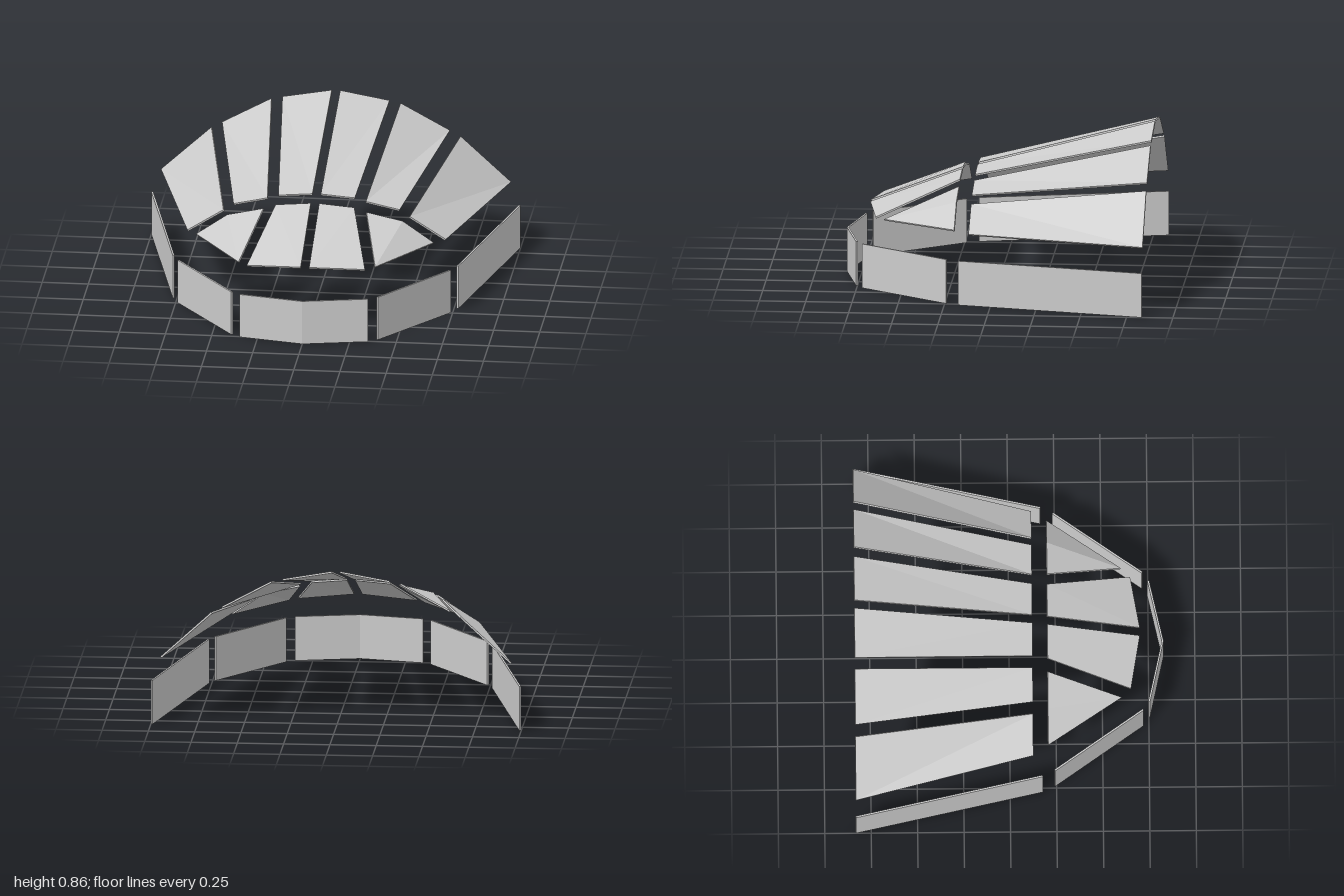
import * as THREE from 'three';

const THICK = 0.01;
const WALL_H = 0.243;
const material = new THREE.MeshStandardMaterial({ color: 0xcccccc, flatShading: true });

// Thin slab under an outline of 3D corners (counter-clockwise from above, fanned from the first)
function slab(corners) {
  const top = corners.map(c => new THREE.Vector3(...c));
  const n = top.length;
  const normal = new THREE.Vector3();
  for (let i = 1; i < n - 1; i++) {
    const a = top[i].clone().sub(top[0]);
    const b = top[i + 1].clone().sub(top[0]);
    normal.add(a.cross(b));
  }
  normal.normalize().multiplyScalar(THICK);
  const low = top.map(p => p.clone().sub(normal));
  const pos = [];
  const tri = (...pts) => pts.forEach(p => pos.push(p.x, p.y, p.z));
  for (let i = 1; i < n - 1; i++) {
    tri(top[0], top[i], top[i + 1]);
    tri(low[0], low[i + 1], low[i]);
  }
  for (let i = 0; i < n; i++) {
    const j = (i + 1) % n;
    tri(top[i], low[i], low[j]);
    tri(top[i], low[j], top[j]);
  }
  const geo = new THREE.BufferGeometry();
  geo.setAttribute('position', new THREE.Float32BufferAttribute(pos, 3));
  geo.computeVertexNormals();
  return geo;
}

// Upright wall from a plan outline of [x, z] points
function wall(plan) {
  const shape = new THREE.Shape(plan.map(([x, z]) => new THREE.Vector2(x, -z)));
  const geo = new THREE.ExtrudeGeometry(shape, { depth: WALL_H, bevelEnabled: false });
  return geo.rotateX(-Math.PI / 2);
}

// Plan outline of a straight wall whose outer face runs from a to b on the left side
function straightPlan([ax, az], [bx, bz]) {
  const len = Math.hypot(bx - ax, bz - az);
  const ox = -Math.abs(bz - az) / len * THICK;
  const oz = -Math.abs(bx - ax) / len * THICK;
  return [[ax, az], [bx, bz], [bx + ox, bz + oz], [ax + ox, az + oz]];
}

// Roof panels of the left half
const roof = {
  RearRoofInner: [[0.023, 0.608, 0.125], [0.207, 0.593, 0.125], [0.29, 0.815, -0.832], [0.023, 0.862, -0.832]],
  RearRoofMiddle: [[0.267, 0.575, 0.125], [0.45, 0.535, 0.125], [0.617, 0.657, -0.832], [0.35, 0.802, -0.832]],
  RearRoofOuter: [[0.505, 0.498, 0.125], [0.7, 0.375, 0.125], [0.948, 0.375, -0.832], [0.675, 0.625, -0.832]],
  FrontRoofInner: [[0.023, 0.393, 0.704], [0.32, 0.375, 0.654], [0.213, 0.567, 0.207], [0.023, 0.583, 0.207]],
  FrontRoofOuter: [[0.37, 0.375, 0.605], [0.643, 0.384, 0.207], [0.475, 0.5, 0.207], [0.28, 0.543, 0.207]],
};

// Side walls of the left half
const walls = {
  LongSideWall: straightPlan([1, -0.832], [0.773, 0.176]),
  FrontCornerWall: straightPlan([0.74, 0.244], [0.397, 0.722]),
};

export function createModel() {
  const model = new THREE.Group();
  const add = (name, geo) => {
    const mesh = new THREE.Mesh(geo, material);
    mesh.name = name;
    model.add(mesh);
  };

  for (const [side, s] of [['left', 1], ['right', -1]]) {
    for (const [name, pts] of Object.entries(roof)) {
      const [first, ...rest] = pts.map(([x, y, z]) => [x * s, y, z]);
      add(side + name, slab([first, ...(s > 0 ? rest : rest.reverse())]));
    }
    for (const [name, plan] of Object.entries(walls)) {
      add(side + name, wall(plan.map(([x, z]) => [x * s, z])));
    }
  }

  // Folded nose wall across the front
  const t = THICK;
  add('noseWall', wall([
    [-0.347, 0.757], [0, 0.832], [0.347, 0.757],
    [0.345, 0.757 - t], [0, 0.832 - t], [-0.345, 0.757 - t],
  ]));

  return model;
}
